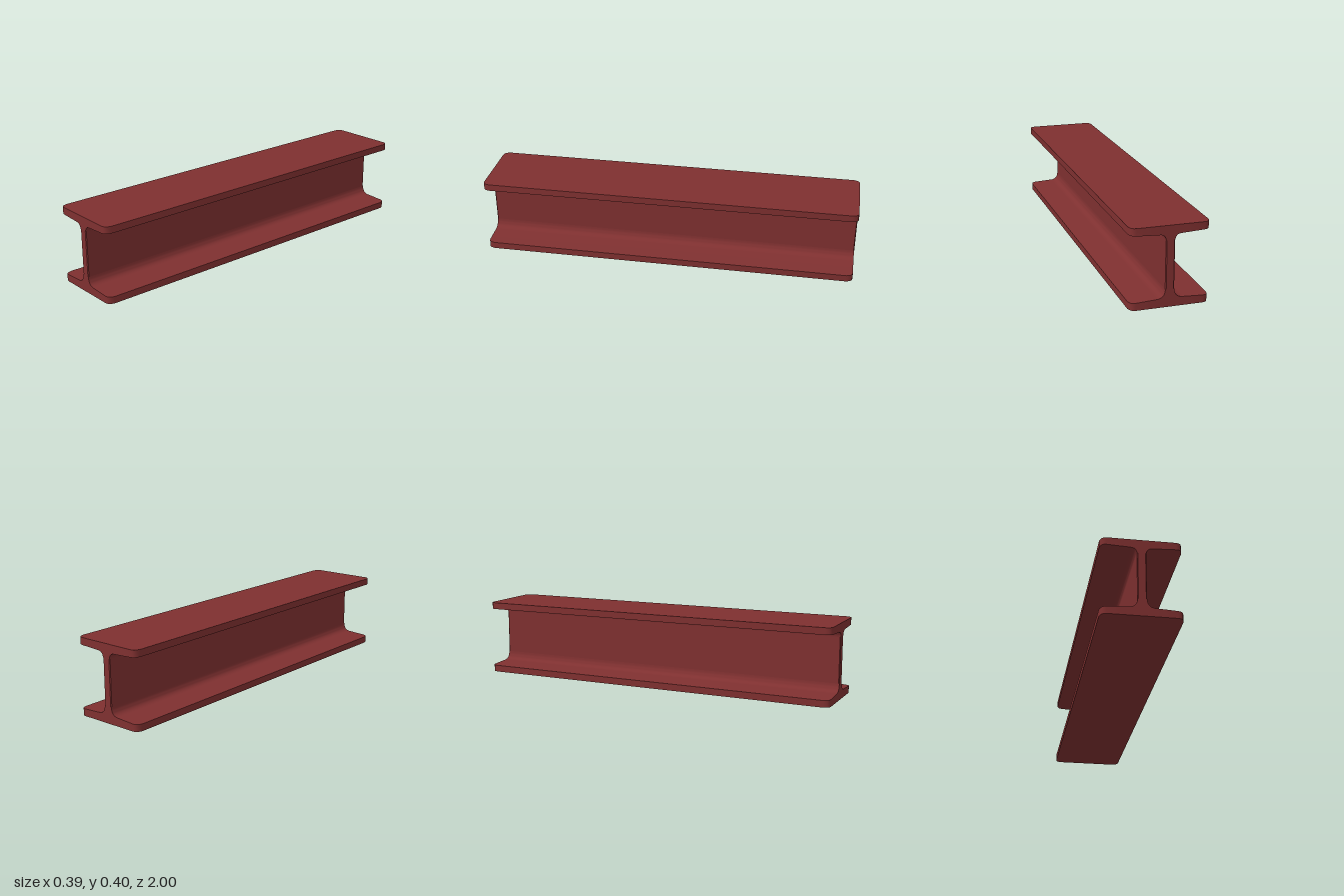
import * as THREE from 'three';
import { toCreasedNormals } from 'three/addons/utils/BufferGeometryUtils.js';

const HEIGHT = 0.4, WEB = 0.022;

// Half length of a flange at each outer x station: rounded plan corners
const TIP = [[0.165, 1], [0.178, 0.997], [0.188, 0.988], [0.195, 0.968]];

// Stations [x, thickness, halfLength] from the web face to the flange tip
function halfStations(filletHeight, filletWidth) {
  const root = 0.043, edge = 0.036;
  const fillet = new THREE.QuadraticBezierCurve(
    new THREE.Vector2(WEB, filletHeight),
    new THREE.Vector2(WEB + 0.002, root + 0.001),
    new THREE.Vector2(filletWidth, root)
  ).getPoints(8).map((p) => [p.x, p.y, 1]);
  const taper = (x) => root + (edge - root) * (x - filletWidth) / (0.195 - filletWidth);
  return [...fillet, ...TIP.map(([x, z]) => [x, taper(x), z])];
}

// Loft rectangular sections across x; up = +1 for the bottom flange, -1 for the top one
function flangeGeometry(filletHeight, filletWidth, up) {
  const half = halfStations(filletHeight, filletWidth);
  const stations = [...half.map(([x, t, z]) => [-x, t, z]).reverse(), ...half];
  const rings = stations.map(([x, t, z]) => {
    const y0 = up > 0 ? 0 : HEIGHT - t;
    const y1 = up > 0 ? t : HEIGHT;
    return [[x, y0, z], [x, y0, -z], [x, y1, -z], [x, y1, z]];
  });
  const pos = [];
  const quad = (a, b, c, d) => pos.push(...a, ...b, ...c, ...a, ...c, ...d);
  for (let i = 0; i < rings.length - 1; i++) {
    const a = rings[i], b = rings[i + 1];
    for (let j = 0; j < 4; j++) {
      const k = (j + 1) % 4;
      quad(a[j], a[k], b[k], b[j]);
    }
  }
  quad(...rings[rings.length - 1]);
  quad(...[...rings[0]].reverse());
  const geometry = new THREE.BufferGeometry();
  geometry.setAttribute('position', new THREE.Float32BufferAttribute(pos, 3));
  return toCreasedNormals(geometry, Math.PI / 6);
}

// Upright web plate with slightly chamfered end edges
function webGeometry() {
  const c = 0.004;
  const corners = [
    [WEB - c, -1], [WEB, -1 + c], [WEB, 1 - c], [WEB - c, 1],
    [c - WEB, 1], [-WEB, 1 - c], [-WEB, -1 + c], [c - WEB, -1],
  ];
  const shape = new THREE.Shape(corners.map(([x, z]) => new THREE.Vector2(x, z)));
  const geometry = new THREE.ExtrudeGeometry(shape, { depth: HEIGHT - 0.04, bevelEnabled: false });
  geometry.rotateX(-Math.PI / 2);
  geometry.translate(0, 0.02, 0);
  return geometry;
}

export function createModel() {
  const beam = new THREE.Group();
  beam.name = 'steelBeam';
  const paint = new THREE.MeshStandardMaterial({ color: 0x7f3030 });
  const add = (name, geometry) => {
    const mesh = new THREE.Mesh(geometry, paint);
    mesh.name = name;
    beam.add(mesh);
  };
  add('bottomFlange', flangeGeometry(0.088, 0.065, 1));
  add('topFlange', flangeGeometry(0.072, 0.052, -1));
  add('web', webGeometry());
  return beam;
}
